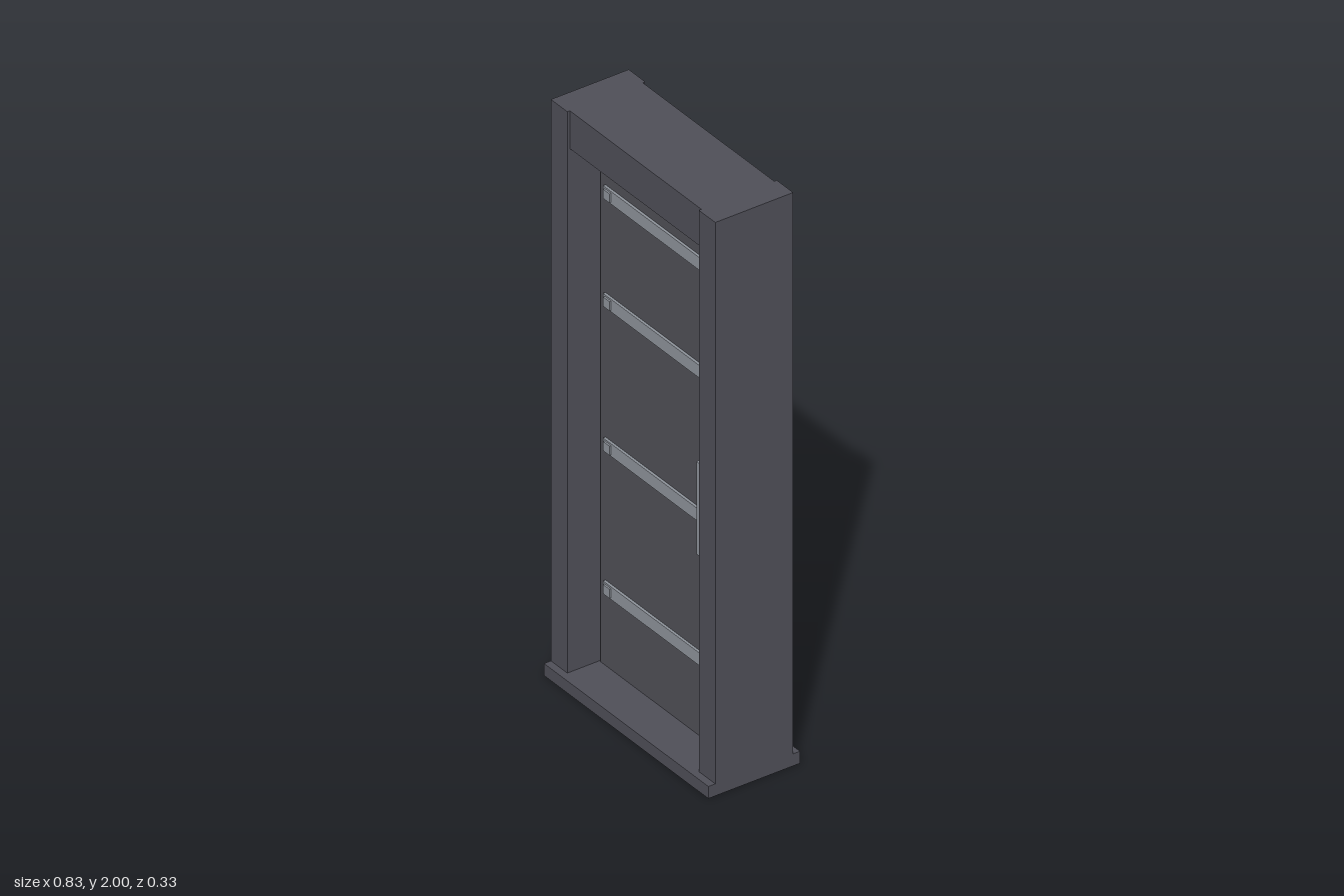
import * as THREE from 'three';

const frameMat = new THREE.MeshStandardMaterial({ name: 'charcoal frame', color: 0x4e4e57 });
const leafMat = new THREE.MeshStandardMaterial({ name: 'charcoal leaf', color: 0x4f4f55 });
const metalMat = new THREE.MeshStandardMaterial({ name: 'brushed metal', color: 0x8c9199 });

// Box given by its lower and upper limits on each axis
function box(parent, name, mat, [x0, x1], [y0, y1], [z0, z1]) {
  const mesh = new THREE.Mesh(new THREE.BoxGeometry(x1 - x0, y1 - y0, z1 - z0), mat);
  mesh.position.set((x0 + x1) / 2, (y0 + y1) / 2, (z0 + z1) / 2);
  mesh.name = name;
  parent.add(mesh);
  return mesh;
}

// Horizontal trim strip with a square stud at each end, facing +z
function trimStrip(name, mat, y, leafFront) {
  const strip = new THREE.Group();
  strip.name = name;
  box(strip, 'stripBar', mat, [-0.301, 0.301], [y - 0.022, y + 0.022], [leafFront - 0.003, leafFront + 0.009]);
  for (const x of [-0.276, 0.276]) {
    box(strip, 'stripStud', mat, [x - 0.016, x + 0.016], [y - 0.016, y + 0.016], [leafFront, leafFront + 0.015]);
  }
  return strip;
}

export function createModel() {
  const door = new THREE.Group();
  door.name = 'door';

  // Frame: threshold, two posts and a slightly recessed header
  const sill = 0.042;
  box(door, 'threshold', frameMat, [-0.415, 0.415], [0, sill], [-0.166, 0.166]);
  box(door, 'leftPost', frameMat, [0.332, 0.415], [sill, 2], [-0.141, 0.141]);
  box(door, 'rightPost', frameMat, [-0.415, -0.332], [sill, 2], [-0.141, 0.141]);
  box(door, 'header', frameMat, [-0.332, 0.332], [1.868, 2], [-0.132, 0.132]);

  // Leaf, with a narrow gap to the frame
  const leafFront = 0.025;
  box(door, 'leaf', leafMat, [-0.326, 0.326], [sill, 1.86], [-leafFront, leafFront]);

  // Metal trim on the front, painted trim on the back
  for (const y of [1.697, 1.321, 0.817, 0.318]) {
    door.add(trimStrip('frontTrim', metalMat, y, leafFront));
    const back = trimStrip('backTrim', leafMat, y, leafFront);
    back.rotation.y = Math.PI;
    door.add(back);
  }

  // Pull handle on two standoffs
  const handle = new THREE.Group();
  handle.name = 'pullHandle';
  box(handle, 'handleBar', metalMat, [0.221, 0.247], [0.717, 1.04], [0.046, 0.07]);
  for (const y of [0.76, 0.997]) {
    box(handle, 'handleStandoff', metalMat, [0.226, 0.242], [y - 0.008, y + 0.008], [leafFront, 0.048]);
  }
  door.add(handle);

  return door;
}
